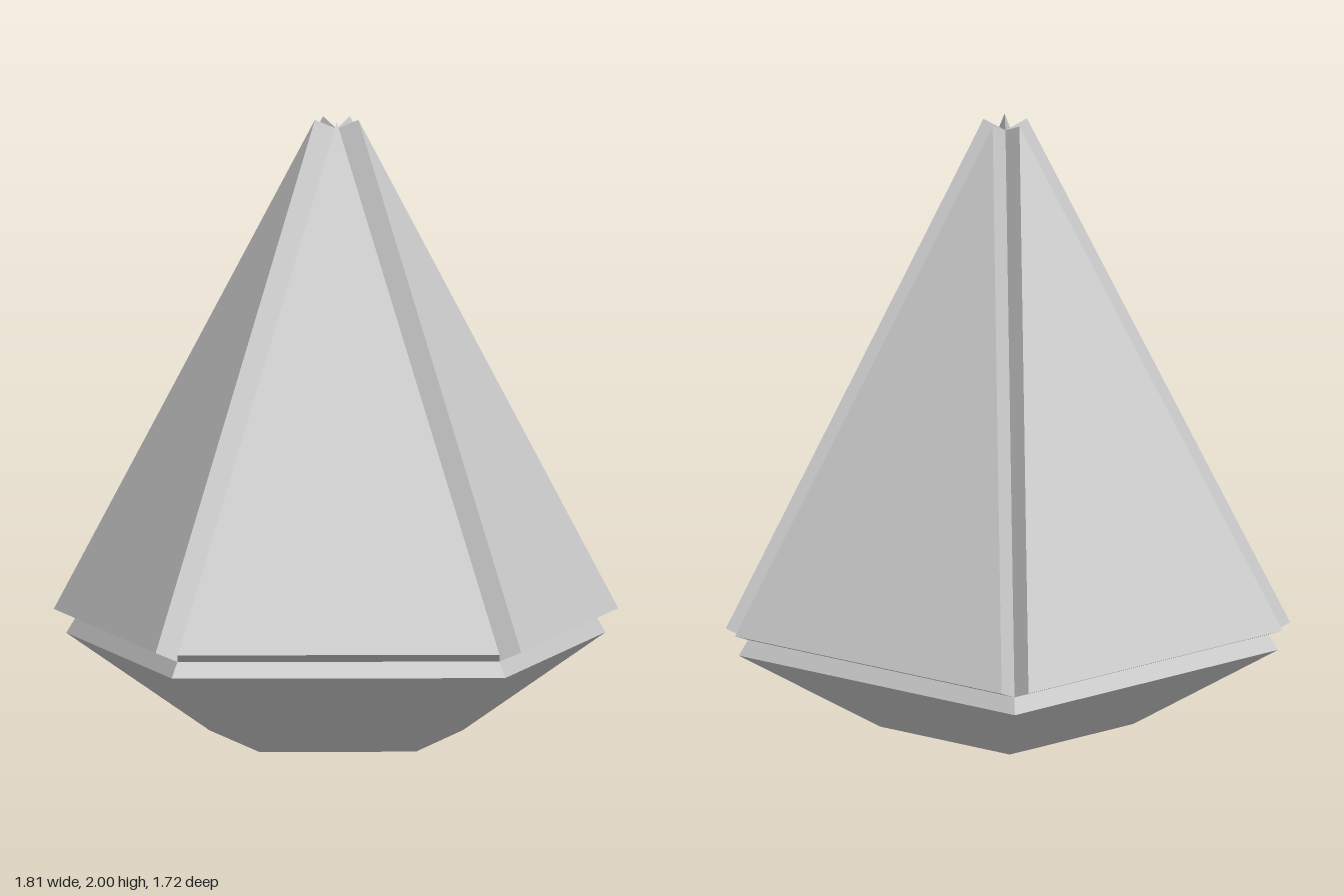
import * as THREE from 'three';

const SIDES = 5;
const STEP = (Math.PI * 2) / SIDES;
const GIRDLE = { radius: 0.878, y: 0.345 }; // where the facet plates begin
const APEX_Y = 1.968;
const PLATE_DEPTH = 0.08;

// Triangular slab lying on one sloping side of the core, facing +z
function facetPlateGeometry() {
  const halfWidth = GIRDLE.radius * Math.sin(STEP / 2);
  const apothem = GIRDLE.radius * Math.cos(STEP / 2);
  const rise = APEX_Y - GIRDLE.y;
  const triangle = new THREE.Shape([
    new THREE.Vector2(-halfWidth, 0),
    new THREE.Vector2(halfWidth, 0),
    new THREE.Vector2(0, Math.hypot(apothem, rise)),
  ]);
  const geometry = new THREE.ExtrudeGeometry(triangle, { depth: PLATE_DEPTH, bevelEnabled: false });
  geometry.rotateX(-Math.atan2(apothem, rise));
  geometry.translate(0, GIRDLE.y, apothem);
  return geometry;
}

export function createModel() {
  const model = new THREE.Group();
  model.name = 'pentagonalGem';
  const material = new THREE.MeshStandardMaterial({ color: 0xcccccc, flatShading: true });

  // Five-sided core: flat base, flared underside, narrow belt and pointed crown
  const profile = [
    [0, 0],
    [0.427, 0],
    [0.909, 0.295],
    [GIRDLE.radius, GIRDLE.y],
    [0, APEX_Y],
  ].map(([r, y]) => new THREE.Vector2(r, y));
  const core = new THREE.Mesh(new THREE.LatheGeometry(profile, SIDES, STEP / 2), material);
  core.name = 'core';
  model.add(core);

  // Raised facet plates with V grooves between them
  const plate = facetPlateGeometry();
  for (let i = 0; i < SIDES; i++) {
    const facet = new THREE.Mesh(plate, material);
    facet.name = `facetPlate${i + 1}`;
    facet.rotation.y = i * STEP;
    model.add(facet);
  }

  // Centre the five-sided outline on its bounding box
  model.position.set(-0.006, 0, 0.075);
  return model;
}
